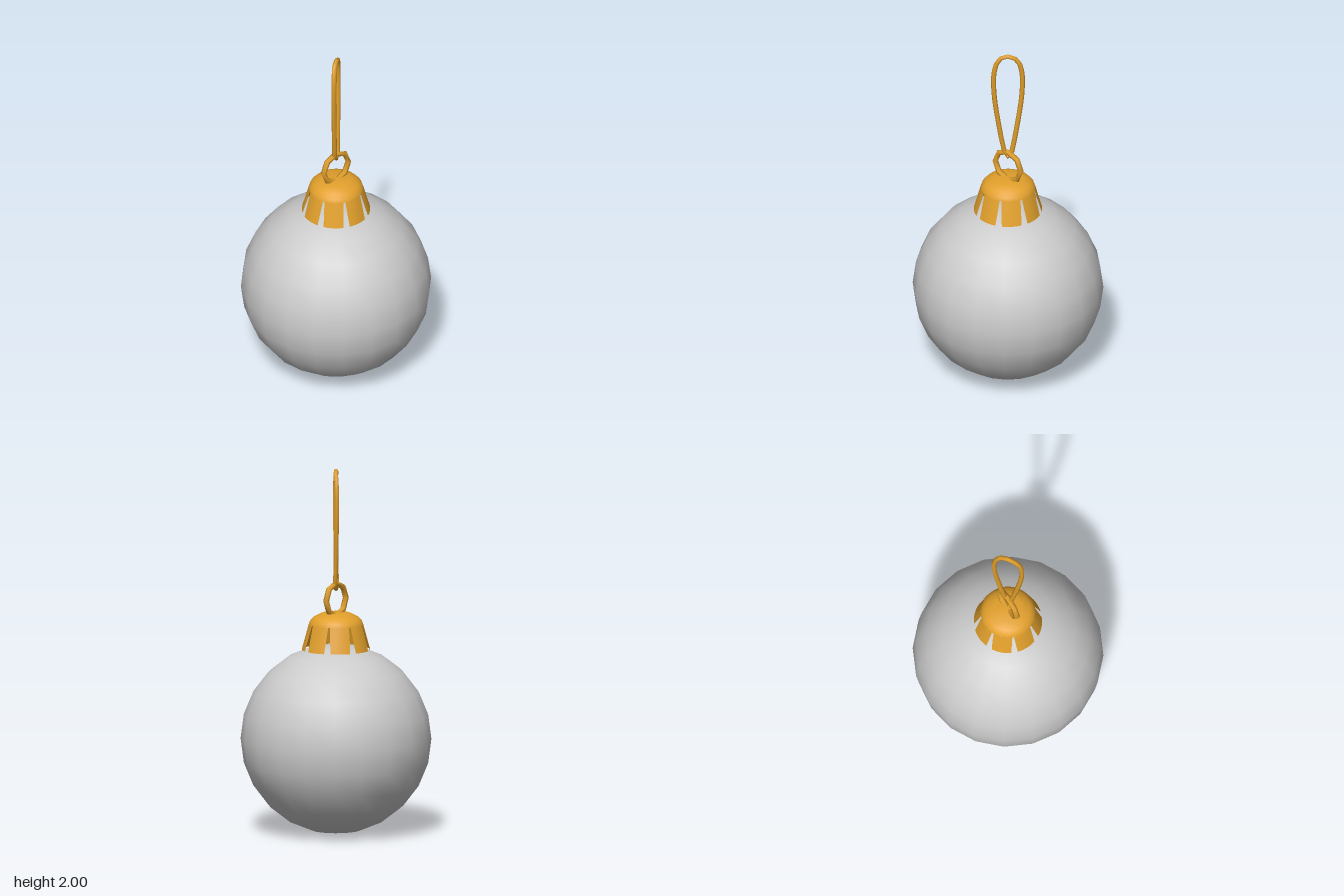
import * as THREE from 'three';

const CENTRE_Y = 0.52;

export function createModel() {
  const group = new THREE.Group();
  const grey = new THREE.MeshStandardMaterial({ color: 0xcccccc });
  const gold = new THREE.MeshStandardMaterial({ color: 0xe2a02c });
  const thinGold = new THREE.MeshStandardMaterial({ color: 0xe2a02c, side: THREE.DoubleSide });

  const add = (name, geometry, material, parent = group) => {
    const mesh = new THREE.Mesh(geometry, material);
    mesh.name = name;
    parent.add(mesh);
    return mesh;
  };

  // Round bauble
  add('ball', new THREE.SphereGeometry(0.518, 20, 12), grey).position.y = CENTRE_Y;

  // Cap: a flattened dome with eight flared teeth
  const cap = new THREE.Group();
  cap.name = 'cap';
  group.add(cap);
  const profile = [[0.148, 1.148], [0.142, 1.165], [0.122, 1.187], [0.078, 1.209], [0, 1.211]]
    .map(([r, y]) => new THREE.Vector2(r, y));
  add('capDome', new THREE.LatheGeometry(profile, 32), thinGold, cap);
  for (let i = 0; i < 8; i++) {
    add('capTooth', toothGeometry(i * Math.PI / 4), thinGold, cap);
  }

  // Eight-sided ring standing in the cap
  const ring = add('ring', new THREE.TorusGeometry(0.088, 0.016, 6, 8), gold);
  ring.position.y = 1.283;

  // Hanging loop, threaded through the ring at 45 degrees
  const half = [[0.014, 1.36], [0.03, 1.43], [0.053, 1.57], [0.072, 1.71],
    [0.078, 1.8], [0.076, 1.88], [0.06, 1.945], [0.032, 1.978]];
  const right = half.map(([x, y]) => new THREE.Vector3(x, y, 0.006));
  const left = half.map(([x, y]) => new THREE.Vector3(-x, y, -0.006)).reverse();
  const path = new THREE.CatmullRomCurve3([
    new THREE.Vector3(0, 1.342, 0), ...right, new THREE.Vector3(0, 1.987, 0), ...left,
  ], true);
  const loop = add('hangingLoop', new THREE.TubeGeometry(path, 32, 0.0135, 6, true), gold);
  loop.rotation.y = Math.PI / 4;

  return group;
}

// One tooth: a flat sheet bent around the cap, narrowing as it flares outward
function toothGeometry(angle) {
  const geometry = new THREE.PlaneGeometry(2, 1, 4, 2);
  const p = geometry.attributes.position;
  for (let i = 0; i < p.count; i++) {
    const t = 0.5 - p.getY(i);
    const a = angle + p.getX(i) * THREE.MathUtils.lerp(0.36, 0.295, t);
    const r = THREE.MathUtils.lerp(0.148, 0.186, t);
    p.setXYZ(i, r * Math.sin(a), THREE.MathUtils.lerp(1.148, 1.008, t), r * Math.cos(a));
  }
  geometry.computeVertexNormals();
  return geometry;
}
